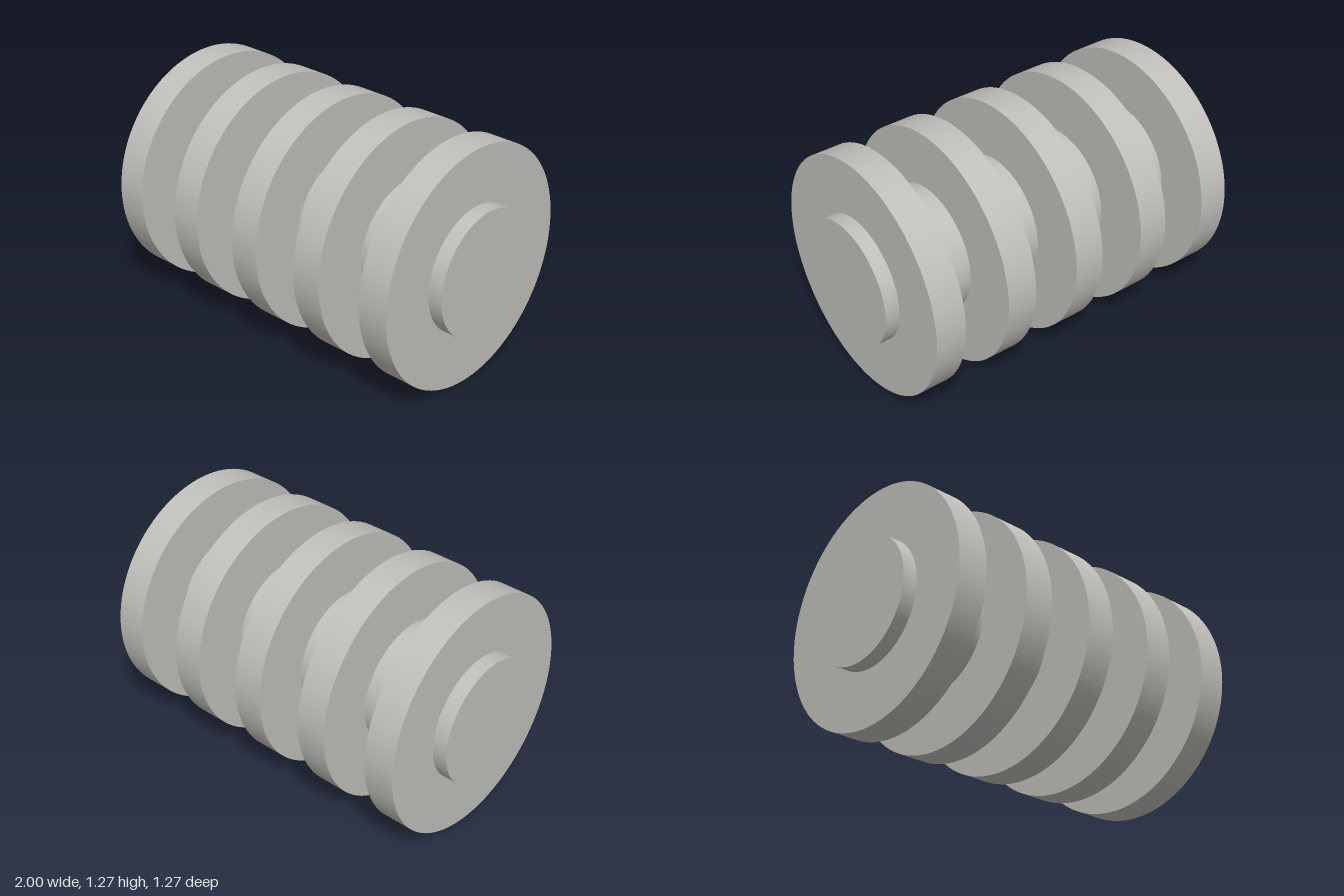
import * as THREE from 'three';

const DISC_RADIUS = 0.633;
const SHAFT_RADIUS = 0.333;
const DISC_WIDTH = 0.166;
const DISC_SPACING = 0.419;

export function createModel() {
  const model = new THREE.Group();
  model.name = 'finnedRoller';
  const grey = new THREE.MeshStandardMaterial({ color: 0xc0bfba });
  grey.name = 'warm grey';

  // Solid cylinder lying along the x axis
  const addCylinder = (name, radius, length, x) => {
    const geometry = new THREE.CylinderGeometry(radius, radius, length, 96);
    geometry.rotateZ(Math.PI / 2);
    const mesh = new THREE.Mesh(geometry, grey);
    mesh.name = name;
    mesh.position.set(x, DISC_RADIUS, 0);
    model.add(mesh);
  };

  // Central shaft, protruding slightly at both ends
  addCylinder('shaft', SHAFT_RADIUS, 2, 0);

  // Five evenly spaced discs
  for (let i = -2; i <= 2; i++) {
    addCylinder(`disc${i + 3}`, DISC_RADIUS, DISC_WIDTH, i * DISC_SPACING);
  }
  return model;
}
